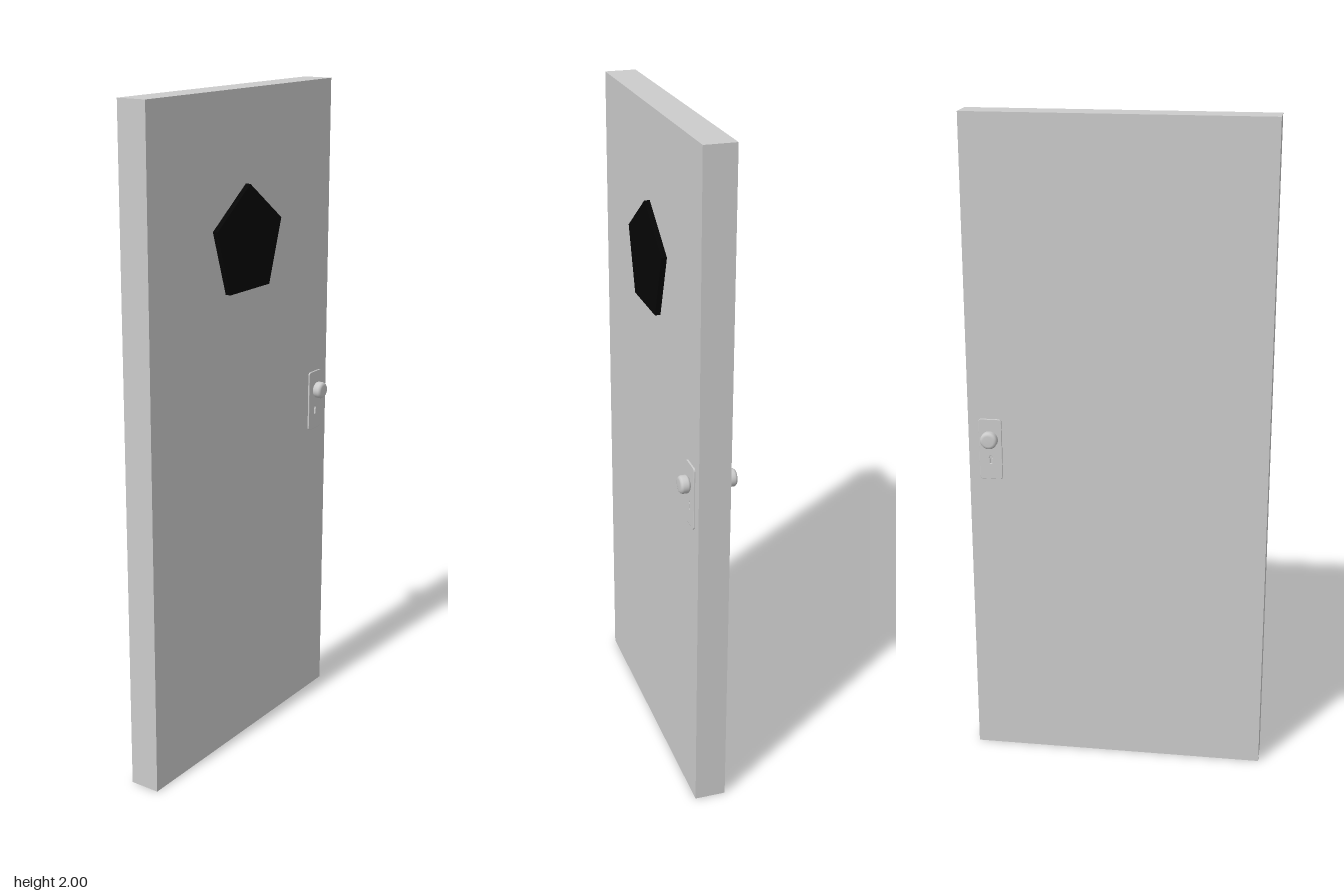
import * as THREE from 'three';

const HALF_DEPTH = 0.0465;

const grey = new THREE.MeshStandardMaterial({ color: 0xcccccc });
const black = new THREE.MeshStandardMaterial({ color: 0x050505 });

function addMesh(parent, name, geometry, material = grey) {
  const mesh = new THREE.Mesh(geometry, material);
  mesh.name = name;
  parent.add(mesh);
  return mesh;
}

// Rounded plate outline with a keyhole cut through it
function plateShape(w, h, r) {
  const x = w / 2, y = h / 2;
  const s = new THREE.Shape();
  s.moveTo(-x + r, -y);
  s.lineTo(x - r, -y);
  s.absarc(x - r, -y + r, r, -Math.PI / 2, 0);
  s.absarc(x - r, y - r, r, 0, Math.PI / 2);
  s.absarc(-x + r, y - r, r, Math.PI / 2, Math.PI);
  s.absarc(-x + r, -y + r, r, Math.PI, Math.PI * 1.5);

  const key = new THREE.Path();
  key.moveTo(-0.003, -0.045);
  key.lineTo(0.003, -0.045);
  key.absarc(0, -0.026, 0.005, -Math.PI * 0.3, Math.PI * 1.3);
  key.closePath();
  s.holes.push(key);
  return s;
}

// Plate and knob facing +z, with z = 0 on the door surface
function makeHandle(name) {
  const handle = new THREE.Group();
  handle.name = name;

  addMesh(handle, 'lockPlate', new THREE.ExtrudeGeometry(plateShape(0.07, 0.19, 0.009), {
    depth: 0.003, bevelEnabled: true, bevelThickness: 0.0015, bevelSize: 0.0015,
    bevelOffset: -0.0015, bevelSegments: 2, curveSegments: 6,
  }));

  // Neck and rounded barrel of the knob, turned around its axis
  const profile = [
    [0.013, 0], [0.013, 0.008], [0.021, 0.0085], [0.0245, 0.011], [0.026, 0.015],
    [0.026, 0.028], [0.0245, 0.032], [0.021, 0.0352], [0.016, 0.0365], [0, 0.0365],
  ].map(([r, h]) => new THREE.Vector2(r, h));
  const knob = addMesh(handle, 'knob', new THREE.LatheGeometry(profile, 28));
  knob.rotation.x = Math.PI / 2;
  knob.position.y = 0.035;
  return handle;
}

export function createModel() {
  const door = new THREE.Group();
  door.name = 'door';

  // Door slab
  addMesh(door, 'slab', new THREE.BoxGeometry(0.9, 2, HALF_DEPTH * 2)).position.y = 1;

  // Raised dark five-sided panel on the front
  const pentagon = new THREE.Shape();
  for (let i = 0; i < 5; i++) {
    const a = Math.PI / 2 + (i * Math.PI * 2) / 5;
    pentagon[i ? 'lineTo' : 'moveTo'](0.168 * Math.cos(a), 0.168 * Math.sin(a));
  }
  pentagon.closePath();
  addMesh(door, 'pentagonPanel',
    new THREE.ExtrudeGeometry(pentagon, { depth: 0.016, bevelEnabled: false }), black)
    .position.set(0, 1.567, HALF_DEPTH);

  // Matching handles on both sides
  for (const side of [1, -1]) {
    const handle = makeHandle(side > 0 ? 'frontHandle' : 'backHandle');
    handle.position.set(0.383, 1.005, side * HALF_DEPTH);
    if (side < 0) handle.rotation.y = Math.PI;
    door.add(handle);
  }
  return door;
}
